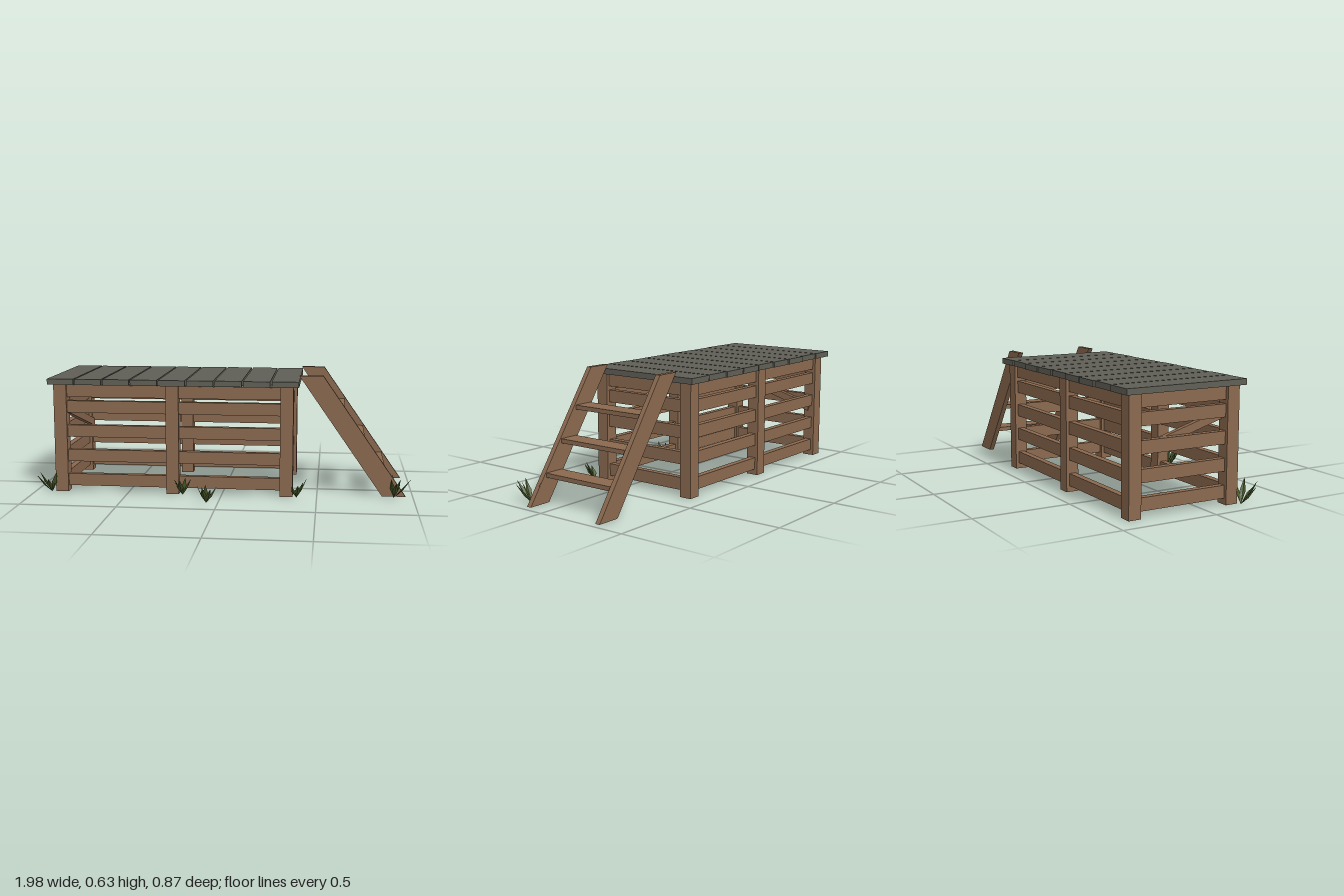
import * as THREE from 'three';

export function createModel() {
  const model = new THREE.Group();
  const make = (name, color, side = THREE.FrontSide) => {
    const m = new THREE.MeshStandardMaterial({ color, side, flatShading: true });
    m.name = name;
    return m;
  };
  const wood = make('brown wood', 0x8a694f);
  const deckGrey = make('weathered grey wood', 0x605f56);
  const green = make('grass green', 0x4a5a2a, THREE.DoubleSide);

  const group = (name) => {
    const g = new THREE.Group();
    g.name = name;
    model.add(g);
    return g;
  };
  // Box given by its limits on each axis
  const box = (parent, name, mat, x0, x1, y0, y1, z0, z1) => {
    const mesh = new THREE.Mesh(new THREE.BoxGeometry(x1 - x0, y1 - y0, z1 - z0), mat);
    mesh.position.set((x0 + x1) / 2, (y0 + y1) / 2, (z0 + z1) / 2);
    mesh.name = name;
    parent.add(mesh);
    return mesh;
  };

  // Posts: three along each long side
  const postX = [-0.858, -0.26, 0.34];
  const postZ = [0.168, -0.374];
  const frame = group('frame');
  for (const x of postX) for (const z of postZ)
    box(frame, 'post', wood, x - 0.034, x + 0.034, 0, 0.578, z - 0.033, z + 0.033);

  // Horizontal rails between the posts on all four sides
  const railY = [0.063, 0.195, 0.327, 0.457, 0.541];
  const t = 0.017;
  for (const y of railY) {
    const y0 = y - 0.032, y1 = y + 0.032;
    for (const z of postZ)
      for (let i = 0; i < 2; i++)
        box(frame, 'longRail', wood, postX[i] + 0.03, postX[i + 1] - 0.03, y0, y1, z - t, z + t);
    for (const x of [postX[0], postX[2]])
      box(frame, 'endRail', wood, x - t, x + t, y0, y1, postZ[1] + 0.03, postZ[0] - 0.03);
  }

  // Diagonal brace inside the far end
  const brace = box(frame, 'brace', wood, -0.841, -0.815, 0.343, 0.383, -0.385, 0.185);
  brace.rotation.x = -Math.atan(0.295);

  // Deck planks with slightly uneven ends
  const deck = group('deck');
  const jitter = [0, 0.004, -0.002, 0.001, 0.005, 0.001, -0.001, 0.004, 0];
  jitter.forEach((j, i) => {
    const x = -0.92 + i * 0.1478;
    box(deck, 'deckPlank', deckGrey, x, x + 0.14, 0.578, 0.608, -0.436 + j, 0.22 + j);
  });

  // Ladder: two slanted stringers with level ends
  const ladder = group('ladder');
  const outline = new THREE.Shape([[0.84, 0], [0.963, 0], [0.525, 0.63], [0.4, 0.63]]
    .map(([x, y]) => new THREE.Vector2(x, y)));
  const stringerGeo = new THREE.ExtrudeGeometry(outline, { depth: 0.026, bevelEnabled: false });
  for (const z of [0.105, -0.338]) {
    const stringer = new THREE.Mesh(stringerGeo, wood);
    stringer.position.z = z;
    stringer.name = 'stringer';
    ladder.add(stringer);
  }
  // Ladder steps
  for (let i = 0; i < 3; i++) {
    const x = 0.588 + i * 0.107, y = 0.442 - i * 0.152;
    box(ladder, 'step', wood, x - 0.052, x + 0.052, y - 0.011, y + 0.011, -0.315, 0.108);
  }

  // Grass: each folded blade runs from the root to a tip offset
  const blade = (tip) => {
    const end = new THREE.Vector3(...tip);
    const side = new THREE.Vector3(end.z, 0, -end.x).normalize().multiplyScalar(0.015);
    const mid = end.clone().multiplyScalar(0.5);
    const l = mid.clone().add(side), r = mid.clone().sub(side);
    const ridge = mid.clone().add(new THREE.Vector3(0, -0.012, 0));
    const root = new THREE.Vector3();
    const geo = new THREE.BufferGeometry().setFromPoints(
      [root, ridge, l, l, ridge, end, root, r, ridge, r, end, ridge]);
    geo.computeVertexNormals();
    const mesh = new THREE.Mesh(geo, green);
    mesh.name = 'grassBlade';
    return mesh;
  };
  const clumps = [
    [-0.91, 0.21, [[-0.08, 0.1, 0.03], [-0.045, 0.12, 0.065], [0.005, 0.09, 0.095], [0.04, 0.12, 0.05], [0.03, 0.1, -0.01]]],
    [-0.205, 0.21, [[-0.04, 0.09, 0.03], [-0.01, 0.1, 0.065], [0.05, 0.095, 0.02], [0.02, 0.1, 0.03]]],
    [-0.06, 0.365, [[-0.045, 0.09, 0.015], [-0.015, 0.095, 0.06], [0.03, 0.085, 0.065], [0.06, 0.095, 0.03], [0, 0.1, 0.03]]],
    [0.395, 0.205, [[-0.025, 0.07, 0.05], [0.01, 0.08, 0.07], [0.055, 0.11, 0.015], [0.035, 0.09, 0.04]]],
    [0.9, 0.16, [[-0.02, 0.115, 0.065], [0.005, 0.1, 0.1], [0.03, 0.11, 0.04], [0.09, 0.11, 0.015], [-0.005, 0.11, -0.06]]],
  ];
  for (const [x, z, tips] of clumps) {
    const clump = group('grassClump');
    clump.position.set(x, 0, z);
    for (const tip of tips) clump.add(blade(tip));
  }
  return model;
}
